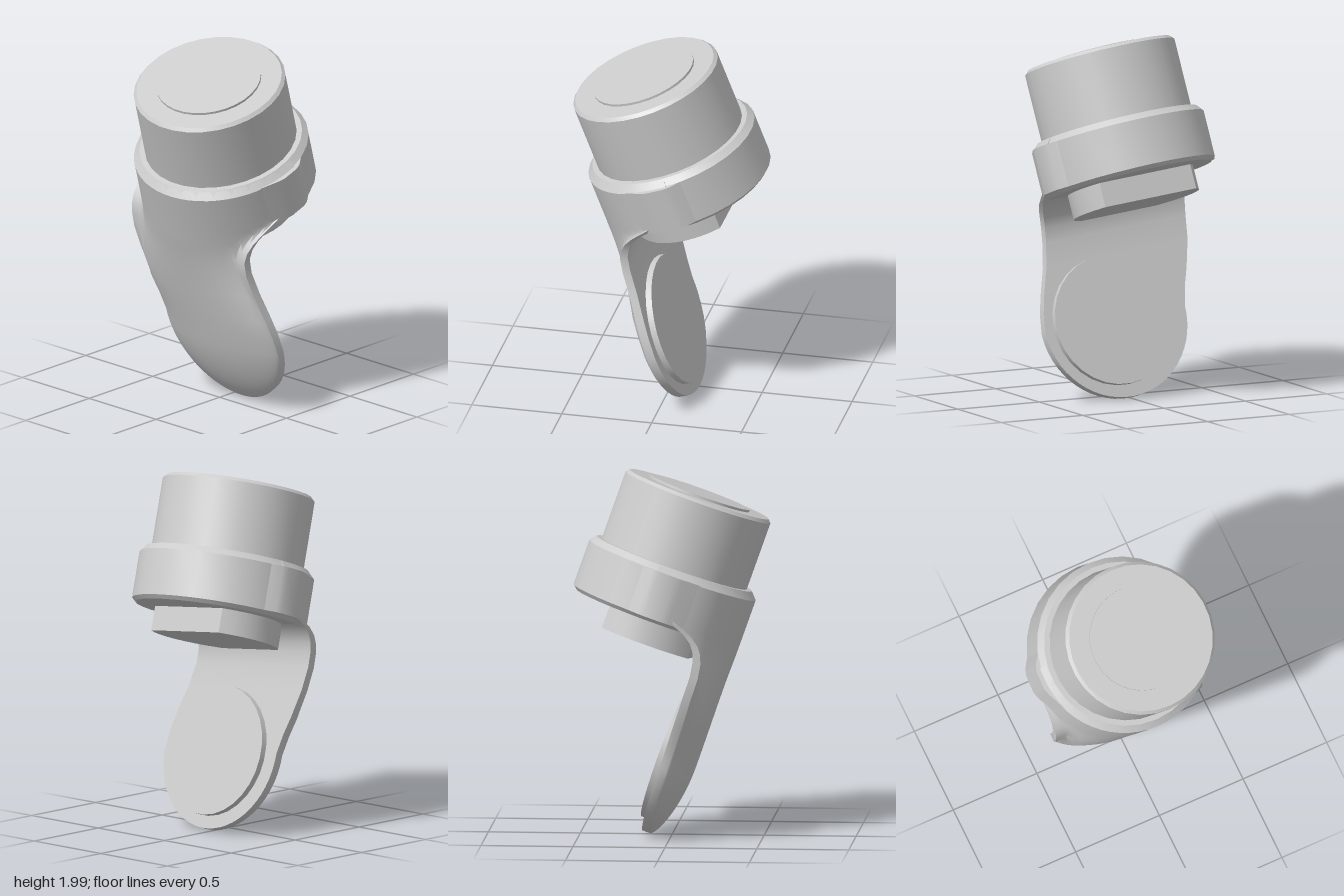
import * as THREE from 'three';
import { toCreasedNormals } from 'three/addons/utils/BufferGeometryUtils.js';

const SEG = 30;
const { lerp, smoothstep } = THREE.MathUtils;
const grey = new THREE.MeshStandardMaterial({ color: 0xcccccc, side: THREE.DoubleSide });

function part(name, geometry, crease = 0.5) {
  const flat = geometry.index ? geometry.toNonIndexed() : geometry;
  const mesh = new THREE.Mesh(toCreasedNormals(flat, crease), grey);
  mesh.name = name;
  return mesh;
}

// Turned part; the profile runs from bottom to top as [radius, height]
function turned(name, profile) {
  return part(name, new THREE.LatheGeometry(profile.map(p => new THREE.Vector2(...p)), SEG));
}

// Arm: collar shell at the top, narrowing to a flat-backed plate with a domed round end
function armGeometry() {
  const endT = 1.405, endX = 0.12, endR = 0.427, cols = 28;
  // [depth below the cap, left edge, right edge, back plane, front crest]
  const rows = [
    [0.405, -0.45, 0.45, -0.06, 0.45],
    [0.44, -0.483, 0.483, -0.06, 0.483],
    [0.62, -0.483, 0.483, -0.06, 0.483],
    [0.645, -0.483, 0.482, 0, 0.483],
    [0.67, -0.48, 0.475, 0.08, 0.483],
    [0.69, -0.475, 0.465, 0.13, 0.483],
    [0.715, -0.468, 0.448, 0.195, 0.483],
    [0.75, -0.462, 0.427, 0.25, 0.483],
    [0.79, -0.457, 0.411, 0.285, 0.482],
    [0.84, -0.452, 0.404, 0.308, 0.481],
    [0.92, -0.442, 0.412, 0.32, 0.48],
    [1.05, -0.42, 0.445, 0.32, 0.48],
    [1.2, -0.373, 0.5, 0.32, 0.48],
    [1.3, -0.335, 0.53, 0.32, 0.48],
  ];
  for (let i = 0; i <= 14; i++) {
    const a = (i / 14) * Math.PI / 2, half = endR * Math.cos(a);
    rows.push([endT + endR * Math.sin(a), endX - half, endX + half, 0.32, 0.48]);
  }
  const pos = [], idx = [], loop = 2 * (cols + 1);
  for (const [t, left, right, back, crest] of rows) {
    const mid = (left + right) / 2, half = (right - left) / 2;
    const plate = smoothstep(t, 0.7, 1.2), wall = 0.045;
    const front = [], rear = [];
    for (let j = 0; j <= cols; j++) {
      const s = Math.sin((j / cols - 0.5) * Math.PI);
      const x = mid + s * half;
      const r = t > endT ? Math.hypot(s * half, t - endT) / endR : Math.abs(s);
      const zBack = back + 0.05 * x * smoothstep(t, 0.65, 0.85);
      const dome = Math.max(0, 1 - r * r) ** lerp(0.5, 0.72, plate);
      const domed = zBack + wall + (crest - wall - zBack) * dome;
      const round = Math.sqrt(Math.max(0, crest * crest - x * x));
      const zFront = Math.max(zBack + wall, lerp(round, domed, plate));
      front.push([x, -t, zFront]);
      rear.unshift([x, -t, zBack]);
    }
    pos.push(...front.flat(), ...rear.flat());
  }
  for (let i = 0; i < rows.length - 1; i++) {
    for (let j = 0; j < loop; j++) {
      const k = (j + 1) % loop;
      const a = i * loop + j, b = i * loop + k, c = b + loop, d = a + loop;
      idx.push(a, d, c, a, c, b);
    }
  }
  const g = new THREE.BufferGeometry();
  g.setAttribute('position', new THREE.Float32BufferAttribute(pos, 3));
  g.setIndex(idx);
  return g;
}

// Outline in plan (x, z) extruded from height y0 up to y1
function slab(name, points, y0, y1) {
  const shape = new THREE.Shape(points.map(([x, z]) => new THREE.Vector2(x, -z)));
  const g = new THREE.ExtrudeGeometry(shape, { depth: y1 - y0, bevelEnabled: false });
  g.rotateX(-Math.PI / 2).translate(0, y0, 0);
  return part(name, g);
}

export function createModel() {
  const model = new THREE.Group();
  model.name = 'model';

  // Tilted frame: origin at the cap centre, y along the barrel
  const body = new THREE.Group();
  body.name = 'tiltedBody';
  const up = new THREE.Vector3(0.095, 0.939, 0.33).normalize();
  const side = new THREE.Vector3(1, 0, 0).addScaledVector(up, -up.x).normalize();
  const front = new THREE.Vector3().crossVectors(side, up);
  body.quaternion.setFromRotationMatrix(new THREE.Matrix4().makeBasis(side, up, front));
  body.position.set(0.056, 1.864, 0.142);
  model.add(body);

  // Barrel with chamfered rim and raised cap disc
  body.add(turned('barrel', [[0.417, -0.5], [0.417, -0.018], [0.4, 0], [0, 0]]));
  body.add(turned('capDisc', [[0.287, -0.01], [0.287, 0.013], [0, 0.013]]));

  // Collar ring
  body.add(turned('collar', [[0, -0.71], [0.455, -0.71], [0.477, -0.69],
    [0.477, -0.435], [0.447, -0.4], [0.4, -0.4]]));

  // Side lugs on the collar, blending forward into the shell
  for (const m of [1, -1]) {
    const outline = [[0.4, 0.2], [0.445, 0.185], [0.49, 0.09], [0.503, 0.05],
      [0.503, -0.05], [0.492, -0.085], [0.455, -0.14], [0.4, -0.15]].map(([x, z]) => [m * x, z]);
    body.add(slab(m > 0 ? 'leftLug' : 'rightLug', outline, -0.69, -0.435));
  }

  // Block under the collar: a disc cut by two chords
  const arc = [];
  for (let i = 0; i <= 8; i++) {
    const z = -0.22 + 0.49 * i / 8;
    arc.push([Math.sqrt(0.35 * 0.35 - z * z), z]);
  }
  const mirrored = arc.map(([x, z]) => [-x, z]).reverse();
  const block = slab('lowerBlock', [...arc, ...mirrored], -0.845, -0.68);
  block.rotation.y = -0.1;
  body.add(block);

  // Arm and the round pad on its inner face
  body.add(part('arm', armGeometry(), 0.6));
  const disc = new THREE.CylinderGeometry(0.358, 0.358, 0.06, SEG);
  disc.rotateX(Math.PI / 2);
  const pad = part('pad', disc);
  pad.position.set(0.135, -1.405, 0.322);
  pad.rotation.y = -0.05;
  body.add(pad);

  return model;
}
